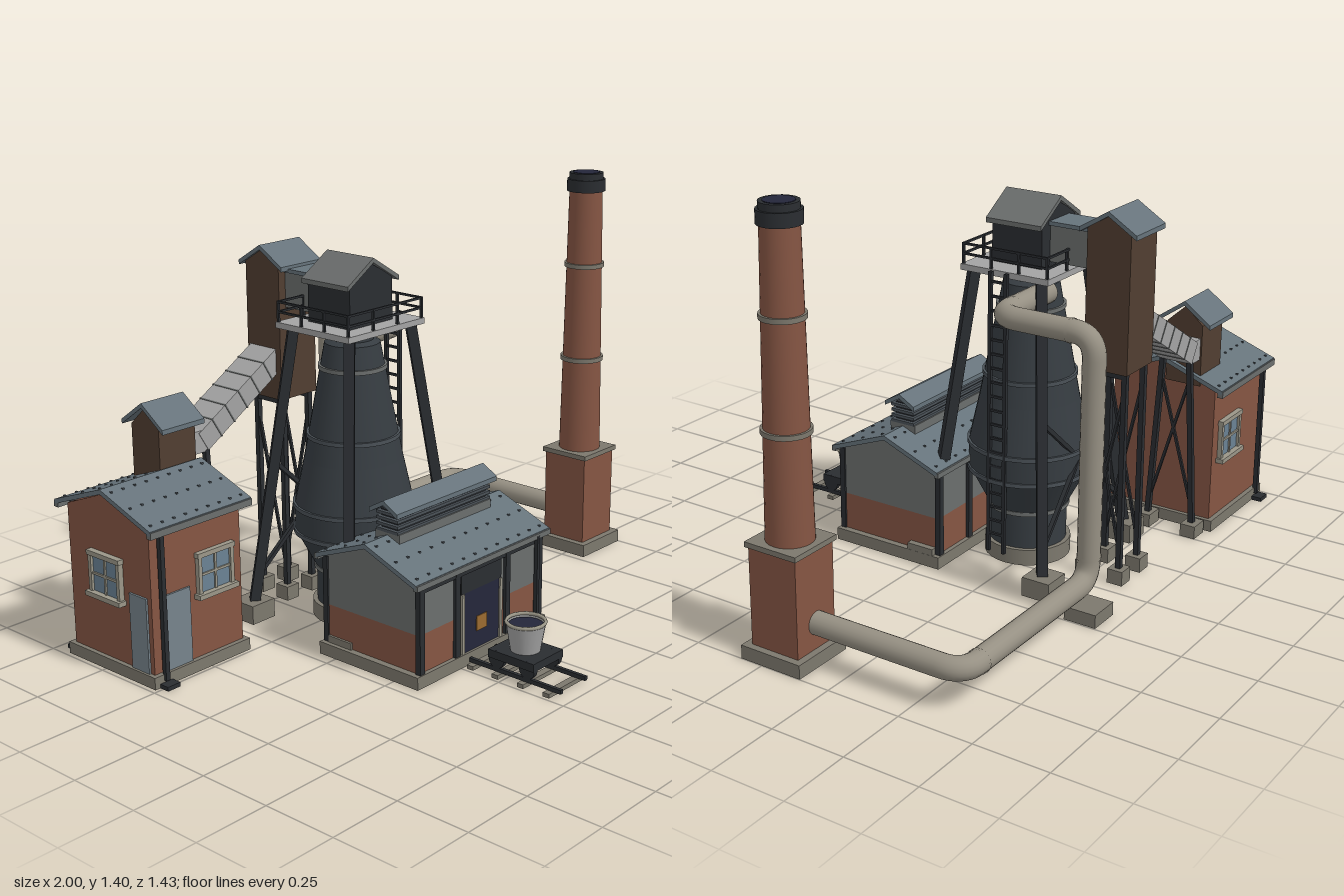
import * as THREE from 'three';

const mat = color => new THREE.MeshStandardMaterial({ color, side: THREE.DoubleSide });
const M = {
  brick: mat(0x855543), brown: mat(0x513e31), roof: mat(0x66737b), metal: mat(0x6b6e6d), stone: mat(0x7c786d),
  dark: mat(0x2a2d31), shell: mat(0x363c41), band: mat(0x4a5157), pipe: mat(0x969083), pale: mat(0xa3a3a3),
  frame: mat(0x9a9688), glass: mat(0x6a8294), door: mat(0x76838b), navy: mat(0x24263a), ochre: mat(0x9a6a30),
};

export function createModel() {
  const root = new THREE.Group();
  let parent = root;
  const V = (x, y, z) => new THREE.Vector3(x, y, z);
  const group = (name, x = 0, y = 0, z = 0) => {
    parent = new THREE.Group();
    parent.name = name;
    parent.position.set(x, y, z);
    root.add(parent);
  };
  const add = (name, geo, m, x = 0, y = 0, z = 0) => {
    const mesh = new THREE.Mesh(geo, m);
    mesh.name = name;
    mesh.position.set(x, y, z);
    parent.add(mesh);
    return mesh;
  };
  // box given by its centre in x and z, and its bottom and top
  const box = (name, m, x, z, w, d, y0, y1) => add(name, new THREE.BoxGeometry(w, y1 - y0, d), m, x, (y0 + y1) / 2, z);
  const cyl = (name, m, x, z, r0, r1, y0, y1, n = 24, open = false) =>
    add(name, new THREE.CylinderGeometry(r1, r0, y1 - y0, n, 1, open), m, x, (y0 + y1) / 2, z);
  // bar between two points of the current group
  const strut = (name, m, a, b, w, h = w) => {
    const mesh = add(name, new THREE.BoxGeometry(w, h, a.distanceTo(b)), m);
    mesh.position.copy(a).add(b).multiplyScalar(0.5);
    mesh.quaternion.setFromRotationMatrix(new THREE.Matrix4().lookAt(b, a, V(0, 1, 0)));
  };
  // profile across the ridge, extruded along it
  const along = (name, m, pts, len, x, z, ridgeX) => {
    const geo = new THREE.ExtrudeGeometry(new THREE.Shape(pts.map(p => new THREE.Vector2(...p))), { depth: len, bevelEnabled: false });
    geo.translate(0, 0, -len / 2);
    if (ridgeX) geo.rotateY(Math.PI / 2);
    add(name, geo, m, x, 0, z);
  };
  const gableWall = (name, m, x, z, len, half, y0, eave, peak, ridgeX) =>
    along(name, m, [[-half, y0], [half, y0], [half, eave], [0, peak], [-half, eave]], len, x, z, ridgeX);
  const gableRoof = (name, x, z, len, half, eave, peak, ridgeX, m = M.roof) => {
    const t = 0.016;
    along(name, m, [[-half, eave - t], [0, peak - t], [half, eave - t], [half, eave], [0, peak], [-half, eave]], len, x, z, ridgeX);
  };
  // rows of rivets on both slopes of a roof whose ridge runs along x
  const rivets = (len, half, eave, peak, n) => {
    for (let i = 0; i < n; i++) for (const t of [-0.9, -0.5, -0.12, 0.12, 0.5, 0.9]) {
      const y = peak + (eave - peak) * Math.abs(t);
      box('roofRivet', M.band, ((i + 0.5) / n - 0.5) * len, t * half, 0.007, 0.007, y - 0.003, y + 0.004);
    }
  };

  // blast furnace
  group('furnace', -0.13, 0, -0.22);
  cyl('furnacePlinth', M.stone, 0, 0, 0.145, 0.145, 0, 0.055, 28);
  const profile = [[0.13, 0.055], [0.13, 0.175], [0.2, 0.31], [0.2, 0.4], [0.165, 0.56], [0.092, 0.95], [0.07, 0.96], [0.07, 1.0]];
  for (let i = 1; i < profile.length; i++) {
    const [r0, y0] = profile[i - 1], [r1, y1] = profile[i];
    cyl('furnaceShell', M.shell, 0, 0, r0, r1, y0, y1, 28, true);
  }
  for (const [y, r, m] of [[0.18, 0.139, M.metal], [0.31, 0.206, M.band], [0.4, 0.206, M.band], [0.64, 0.157, M.band], [0.87, 0.114, M.metal]])
    cyl('furnaceBand', m, 0, 0, r, r, y - 0.007, y + 0.007, 28);

  // splayed legs and footings
  for (const sx of [-1, 1]) for (const sz of [-1, 1]) {
    strut('furnaceLeg', M.dark, V(sx * 0.265, 0.05, sz * 0.22), V(sx * 0.145, 1.0, sz * 0.125), 0.034);
    box('legFooting', M.stone, sx * 0.265, sz * 0.225, 0.1, 0.1, 0, 0.065);
  }
  for (const s of [-1, 1]) strut('legBrace', M.dark, V(s * 0.25, 0.15, -0.212), V(-s * 0.2, 0.55, -0.175), 0.014);

  // ladder up the side
  for (const z of [-0.029, 0.029]) box('ladderRail', M.dark, 0.197, z, 0.012, 0.012, 0.06, 1.02);
  for (let i = 0; i < 19; i++) box('ladderRung', M.dark, 0.197, 0, 0.008, 0.058, 0.12 + i * 0.048, 0.128 + i * 0.048);

  // charging platform with railing and cabin
  group('chargingPlatform', -0.13, 0, -0.228);
  box('platformDeck', M.pale, 0, 0, 0.36, 0.325, 1.0, 1.02);
  for (const s of [-1, 1]) {
    for (const y of [1.05, 1.083]) {
      box('handrail', M.dark, 0, s * 0.155, 0.352, 0.007, y, y + 0.007);
      box('handrail', M.dark, s * 0.173, 0, 0.007, 0.31, y, y + 0.007);
    }
    for (const t of [-1, -0.33, 0.33, 1]) {
      box('railPost', M.dark, t * 0.173, s * 0.155, 0.008, 0.008, 1.02, 1.09);
      box('railPost', M.dark, s * 0.173, t * 0.155, 0.008, 0.008, 1.02, 1.09);
    }
  }
  gableWall('cabinWalls', M.dark, -0.005, 0.006, 0.185, 0.1, 1.02, 1.165, 1.22, false);
  gableRoof('cabinRoof', -0.005, 0.008, 0.205, 0.12, 1.165, 1.24, false, M.metal);

  // hoist tower, its bridge to the cabin and its trestle
  group('hoistTower', -0.137, 0, -0.542);
  gableWall('towerWalls', M.brown, 0, 0, 0.165, 0.077, 0.72, 1.18, 1.225, true);
  gableRoof('towerRoof', 0, 0, 0.185, 0.1, 1.178, 1.24, true);
  box('bridgeWalls', M.metal, 0, 0.15, 0.105, 0.16, 1.035, 1.155);
  box('bridgeRoof', M.roof, 0, 0.15, 0.122, 0.16, 1.155, 1.168);
  for (const s of [-1, 1]) {
    for (const t of [-1, 1]) {
      strut('towerLeg', M.dark, V(s * 0.06, 0.04, t * 0.06), V(s * 0.06, 0.72, t * 0.06), 0.018);
      box('towerFooting', M.stone, s * 0.06, t * 0.06, 0.055, 0.055, 0, 0.05);
      strut('towerBrace', M.dark, V(s * 0.06, 0.1, t * 0.06), V(s * 0.06, 0.66, -t * 0.06), 0.009);
    }
    box('towerBeam', M.dark, s * 0.06, 0, 0.016, 0.13, 0.7, 0.72);
  }

  // sloping conveyor gallery and its bent
  group('conveyor', 0, 0, -0.547);
  const low = V(-0.55, 0.65, 0), high = V(-0.2, 0.862, 0);
  box('conveyorLanding', M.pale, -0.565, 0, 0.06, 0.115, 0.615, 0.69);
  strut('conveyorGallery', M.pale, low, high, 0.12, 0.075);
  for (let i = 1; i < 6; i++)
    strut('galleryJoint', M.metal, low.clone().lerp(high, i / 6 - 0.006), low.clone().lerp(high, i / 6 + 0.006), 0.124, 0.079);
  for (const s of [-1, 1]) {
    strut('bentLeg', M.dark, V(-0.535, 0.04, s * 0.085), V(-0.535, 0.62, s * 0.05), 0.018);
    strut('bentBrace', M.dark, V(-0.535, 0.1, s * 0.08), V(-0.535, 0.55, -s * 0.05), 0.009);
    box('bentFooting', M.stone, -0.535, s * 0.087, 0.07, 0.055, 0, 0.045);
  }

  // window facing +z in its own frame
  const windowAt = (x, y, z, turn) => {
    const outer = parent, g = new THREE.Group();
    g.name = 'window';
    g.position.set(x, y, z);
    g.rotation.y = turn;
    outer.add(g);
    parent = g;
    box('windowPane', M.glass, 0, 0, 0.125, 0.012, -0.06, 0.06);
    for (const s of [-1, 1]) box('windowJamb', M.frame, s * 0.067, 0.004, 0.014, 0.022, -0.065, 0.065);
    box('windowLintel', M.frame, 0, 0.005, 0.155, 0.026, 0.06, 0.076);
    box('windowSill', M.frame, 0, 0.009, 0.165, 0.034, -0.076, -0.06);
    box('windowMullion', M.frame, 0, 0.005, 0.008, 0.012, -0.06, 0.06);
    box('windowTransom', M.frame, 0, 0.005, 0.125, 0.012, -0.004, 0.004);
    parent = outer;
  };

  // engine house
  group('engineHouse', -0.785, 0, -0.472);
  box('housePlinth', M.stone, 0, 0, 0.4, 0.42, 0, 0.04);
  gableWall('houseWalls', M.brick, 0, 0, 0.37, 0.193, 0.04, 0.515, 0.59, true);
  gableRoof('houseRoof', 0, 0, 0.415, 0.228, 0.525, 0.608, true);
  rivets(0.415, 0.228, 0.525, 0.608, 9);
  for (const s of [-1, 1]) {
    box('gutter', M.metal, 0, s * 0.222, 0.415, 0.02, 0.5, 0.522);
    box('downpipe', M.dark, -0.155, s * 0.212, 0.016, 0.016, 0.02, 0.51);
    box('downpipeShoe', M.dark, -0.155, s * 0.226, 0.05, 0.04, 0, 0.014);
    windowAt(0.07, 0.315, s * 0.194, s > 0 ? 0 : Math.PI);
  }
  windowAt(-0.188, 0.315, -0.01, -Math.PI / 2);
  box('frontDoor', M.door, -0.09, 0.193, 0.11, 0.014, 0.04, 0.29);
  box('sideDoor', M.door, -0.186, 0.135, 0.012, 0.08, 0.04, 0.29);

  // transfer house on its roof
  group('transferHouse', -0.668, 0, -0.545);
  gableWall('transferWalls', M.brown, 0, 0, 0.15, 0.065, 0.52, 0.735, 0.795, true);
  gableRoof('transferRoof', 0, 0, 0.175, 0.098, 0.745, 0.815, true);

  // cast house
  group('castHouse', -0.137, 0, 0.14);
  box('castPlinth', M.stone, 0, 0, 0.645, 0.42, 0, 0.042);
  box('lowerWalls', M.brick, 0, 0, 0.6, 0.39, 0.042, 0.17);
  gableWall('upperWalls', M.metal, 0, 0, 0.6, 0.195, 0.17, 0.338, 0.415, true);
  gableRoof('castRoof', 0, 0, 0.665, 0.212, 0.35, 0.432, true);
  rivets(0.665, 0.212, 0.35, 0.432, 12);
  for (const s of [-1, 1]) {
    box('gutter', M.metal, 0, s * 0.21, 0.665, 0.016, 0.33, 0.348);
    for (const x of [-0.295, -0.125, 0.125, 0.295]) box('wallPost', M.dark, x, s * 0.196, 0.022, 0.02, 0.04, 0.335);
  }
  box('eaveBeam', M.dark, 0, 0.197, 0.6, 0.014, 0.31, 0.33);
  box('doorHead', M.dark, -0.005, 0.194, 0.2, 0.014, 0.245, 0.32);
  box('doorOpening', M.navy, -0.005, 0.194, 0.18, 0.014, 0.03, 0.245);
  for (const s of [-1, 1]) box('doorJamb', M.frame, -0.005 + s * 0.094, 0.198, 0.012, 0.018, 0.03, 0.245);
  box('tapHole', M.ochre, -0.005, 0.199, 0.05, 0.01, 0.1, 0.15);
  box('downpipe', M.dark, 0.268, 0.212, 0.012, 0.014, 0.02, 0.34);
  box('downpipeShoe', M.stone, 0.268, 0.215, 0.05, 0.03, 0, 0.02);

  // louvred ridge vent
  box('ventBody', M.dark, 0, 0, 0.43, 0.07, 0.39, 0.51);
  for (let i = 0; i < 4; i++) box('ventLouvre', M.band, 0, 0, 0.455, 0.09, 0.44 + i * 0.019, 0.45 + i * 0.019);
  box('ventCurb', M.metal, 0, 0, 0.45, 0.1, 0.38, 0.442);
  gableRoof('ventRoof', 0, 0, 0.49, 0.058, 0.517, 0.55, true);

  // chimney
  group('chimney', 0.888, 0, -0.033);
  box('chimneyPlinth', M.stone, 0, 0, 0.222, 0.222, 0, 0.045);
  box('chimneyBase', M.brick, 0, 0, 0.175, 0.175, 0.045, 0.365);
  box('baseCap', M.stone, 0, 0, 0.192, 0.192, 0.365, 0.382);
  cyl('chimneyStack', M.brick, 0, 0, 0.075, 0.059, 0.382, 1.34);
  for (const [y, r] of [[0.725, 0.077], [1.07, 0.071]]) cyl('chimneyBand', M.stone, 0, 0, r, r, y - 0.008, y + 0.008);
  cyl('chimneyCollar', M.dark, 0, 0, 0.068, 0.068, 1.335, 1.378);
  cyl('chimneyRim', M.dark, 0, 0, 0.06, 0.06, 1.378, 1.4);
  cyl('chimneyMouth', M.navy, 0, 0, 0.047, 0.047, 1.395, 1.402);

  // gas main with rounded bends
  group('gasMain');
  const pts = [V(-0.1, 0.93, -0.3), V(0.193, 0.93, -0.3), V(0.193, 0.93, -0.642), V(0.193, 0.13, -0.642), V(0.885, 0.13, -0.642), V(0.885, 0.13, -0.1)];
  const toward = (p, q, d) => p.clone().add(q.clone().sub(p).setLength(d));
  const path = new THREE.CurvePath();
  let last = pts[0];
  for (let i = 1; i < pts.length; i++) {
    const bend = i < pts.length - 1;
    const end = bend ? toward(pts[i], pts[i - 1], 0.075) : pts[i];
    path.add(new THREE.LineCurve3(last, end));
    add('pipeJoint', new THREE.TubeGeometry(new THREE.LineCurve3(toward(end, last, 0.01), end), 1, 0.039, 18), M.pipe);
    if (bend) {
      last = toward(pts[i], pts[i + 1], 0.075);
      path.add(new THREE.QuadraticBezierCurve3(end, pts[i], last));
    }
  }
  add('gasPipe', new THREE.TubeGeometry(path, 220, 0.037, 18), M.pipe);
  box('pipeFooting', M.stone, 0.19, -0.645, 0.112, 0.112, 0, 0.045);

  // track and ladle car
  group('ladleCar', -0.148, 0, 0.525);
  for (const s of [-1, 1]) {
    box('rail', M.dark, s * 0.063, 0.01, 0.012, 0.36, 0.014, 0.028);
    for (const z of [-0.06, 0.06])
      add('wheel', new THREE.CylinderGeometry(0.03, 0.03, 0.016, 16), M.dark, s * 0.063, 0.056, z).rotation.z = Math.PI / 2;
  }
  for (let i = 0; i < 4; i++) box('sleeper', M.stone, 0, -0.15 + i * 0.1, 0.18, 0.024, 0, 0.014);
  box('carFrame', M.dark, 0, 0, 0.15, 0.18, 0.058, 0.085);
  cyl('ladle', M.pale, 0, 0, 0.048, 0.064, 0.085, 0.18, 20, true);
  cyl('ladleFill', M.navy, 0, 0, 0.055, 0.056, 0.165, 0.17, 20);
  add('ladleRim', new THREE.TorusGeometry(0.062, 0.006, 6, 20), M.frame, 0, 0.18, 0).rotation.x = Math.PI / 2;

  return root;
}
